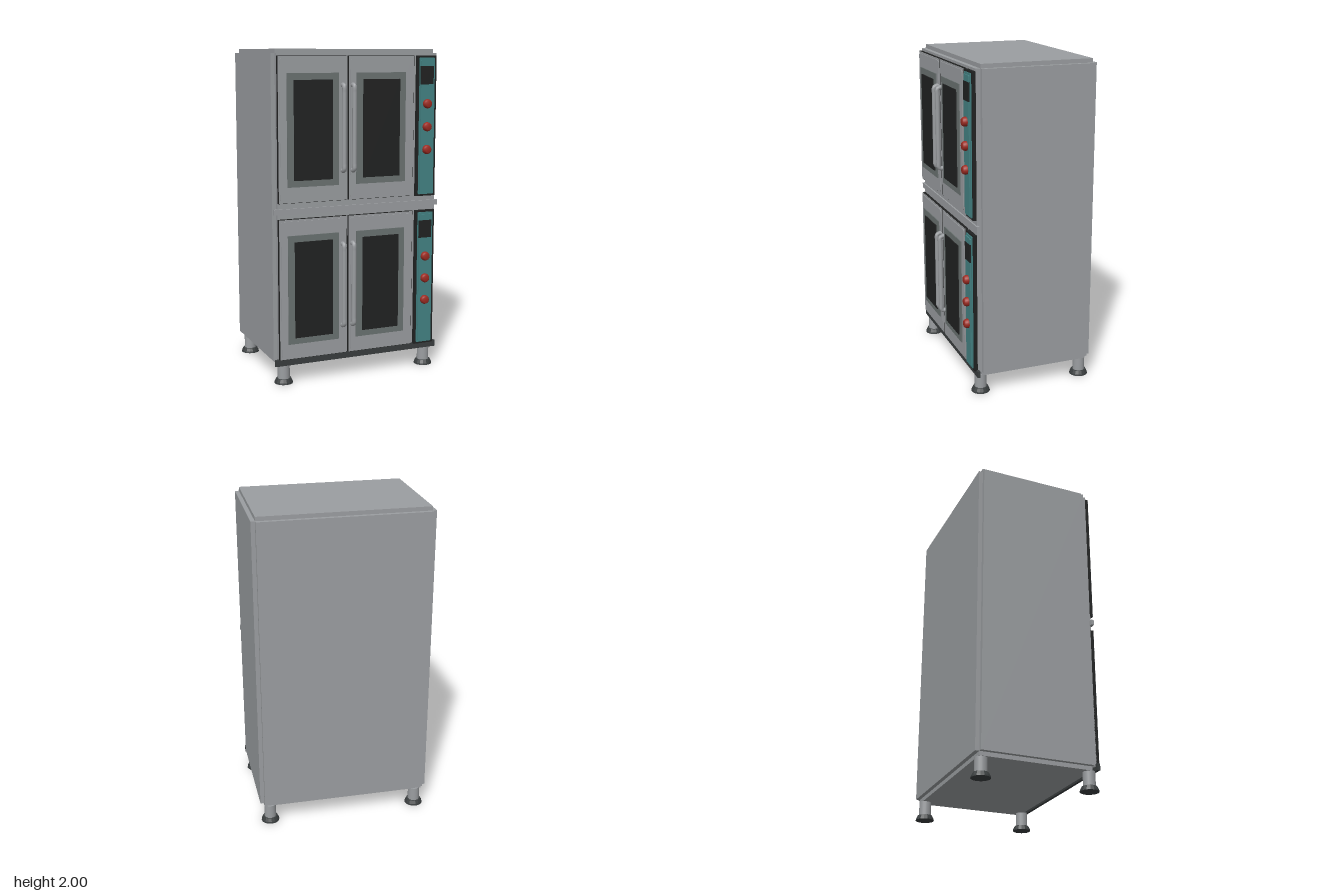
import * as THREE from 'three';

const mat = (name, color) => {
  const m = new THREE.MeshStandardMaterial({ color });
  m.name = name;
  return m;
};

export function createModel() {
  const steel = mat('steel', 0x9b9ea1);
  const black = mat('black', 0x212222);
  const trim = mat('window trim', 0x6b7372);
  const dark = mat('dark grey', 0x3a3e3f);
  const teal = mat('teal', 0x448384);
  const red = mat('red', 0x9e2b22);

  const root = new THREE.Group();
  root.name = 'doubleOven';

  const add = (parent, name, geometry, material) => {
    const mesh = new THREE.Mesh(geometry, material);
    mesh.name = name;
    parent.add(mesh);
    return mesh;
  };
  // Box given by its limits on each axis
  const box = (parent, name, material, x0, x1, y0, y1, z0, z1) => {
    const mesh = add(parent, name, new THREE.BoxGeometry(x1 - x0, y1 - y0, z1 - z0), material);
    mesh.position.set((x0 + x1) / 2, (y0 + y1) / 2, (z0 + z1) / 2);
    return mesh;
  };
  // Thin plate with rounded corners, facing +z
  const plate = (parent, name, material, x0, x1, y0, y1, z0, z1, r) => {
    const s = new THREE.Shape();
    s.moveTo(x0 + r, y0);
    s.lineTo(x1 - r, y0).quadraticCurveTo(x1, y0, x1, y0 + r);
    s.lineTo(x1, y1 - r).quadraticCurveTo(x1, y1, x1 - r, y1);
    s.lineTo(x0 + r, y1).quadraticCurveTo(x0, y1, x0, y1 - r);
    s.lineTo(x0, y0 + r).quadraticCurveTo(x0, y0, x0 + r, y0);
    const g = new THREE.ExtrudeGeometry(s, { depth: z1 - z0, bevelEnabled: false, curveSegments: 4 });
    g.translate(0, 0, z0);
    return add(parent, name, g, material);
  };

  // Cabinet: three crossing boxes leave a stepped notch along every edge
  const cabinet = new THREE.Group();
  cabinet.name = 'cabinet';
  root.add(cabinet);
  box(cabinet, 'sidePanels', steel, -0.54, 0.54, 0.14, 1.975, -0.375, 0.315);
  box(cabinet, 'topAndBottomPanels', steel, -0.515, 0.515, 0.115, 2.0, -0.375, 0.315);
  box(cabinet, 'frontAndBackPanels', steel, -0.515, 0.515, 0.14, 1.975, -0.4, 0.343);
  box(cabinet, 'middleRail', steel, -0.54, 0.54, 1.037, 1.07, 0.335, 0.352);
  box(cabinet, 'bottomRail', dark, -0.54, 0.54, 0.115, 0.155, 0.335, 0.352);

  // One door; x0..x1 outer edge, wx its window centre, hx its handle
  const door = (parent, name, x0, x1, wx, hx) => {
    const g = new THREE.Group();
    g.name = name;
    parent.add(g);
    box(g, 'doorSeal', black, x0, x1, 0.155, 1.01, 0.34, 0.36);
    box(g, 'doorFace', steel, x0 + 0.002, x1 - 0.002, 0.157, 1.008, 0.36, 0.362);
    plate(g, 'doorPanel', steel, x0 + 0.012, x1 - 0.018, 0.167, 0.997, 0.362, 0.366, 0.015);
    box(g, 'windowTrim', trim, wx - 0.162, wx + 0.162, 0.25, 0.912, 0.366, 0.372);
    box(g, 'windowGlass', black, wx - 0.121, wx + 0.121, 0.288, 0.873, 0.372, 0.378);
    const path = new THREE.CatmullRomCurve3([
      [0.335, 0.362], [0.335, 0.382], [0.345, 0.391], [0.38, 0.391],
      [0.795, 0.391], [0.83, 0.391], [0.84, 0.382], [0.84, 0.362],
    ].map(([y, z]) => new THREE.Vector3(hx, y, z)), false, 'centripetal');
    add(g, 'handle', new THREE.TubeGeometry(path, 40, 0.0145, 10), steel);
  };

  // Two identical ovens, stacked
  [['lowerOven', 0], ['upperOven', 0.95]].forEach(([name, y]) => {
    const oven = new THREE.Group();
    oven.name = name;
    oven.position.y = y;
    root.add(oven);
    door(oven, 'rightDoor', -0.515, -0.083, -0.3, -0.11);
    door(oven, 'leftDoor', -0.07, 0.363, 0.14, -0.045);

    // Control panel
    box(oven, 'controlFrame', black, 0.383, 0.514, 0.15, 1.01, 0.34, 0.364);
    plate(oven, 'controlPanel', teal, 0.397, 0.5, 0.162, 0.998, 0.364, 0.37, 0.006);
    plate(oven, 'controlPanelRaised', teal, 0.404, 0.487, 0.172, 0.985, 0.37, 0.377, 0.006);
    box(oven, 'display', black, 0.402, 0.488, 0.838, 0.948, 0.37, 0.379);
    const knobProfile = [[0.028, 0], [0.028, 0.012], [0.024, 0.022], [0.018, 0.028], [0, 0.028]]
      .map(([r, h]) => new THREE.Vector2(r, h));
    for (const ky of [0.44, 0.58, 0.72]) {
      const knob = add(oven, 'knob', new THREE.LatheGeometry(knobProfile, 20), red);
      knob.rotation.x = Math.PI / 2;
      knob.position.set(0.445, ky, 0.377);
    }
  });

  // Feet
  const footProfile = [[0, 0], [0.057, 0], [0.055, 0.01], [0.045, 0.03], [0, 0.032]]
    .map(([r, h]) => new THREE.Vector2(r, h));
  for (const x of [-0.476, 0.476]) {
    for (const z of [-0.35, 0.312]) {
      const foot = new THREE.Group();
      foot.name = 'foot';
      foot.position.set(x, 0, z);
      root.add(foot);
      // Flat-sided pad
      const pad = new THREE.LatheGeometry(footProfile, 16).toNonIndexed();
      pad.computeVertexNormals();
      add(foot, 'footPad', pad, dark);
      add(foot, 'footPost', new THREE.CylinderGeometry(0.037, 0.037, 0.09, 20), steel).position.y = 0.072;
    }
  }
  return root;
}
